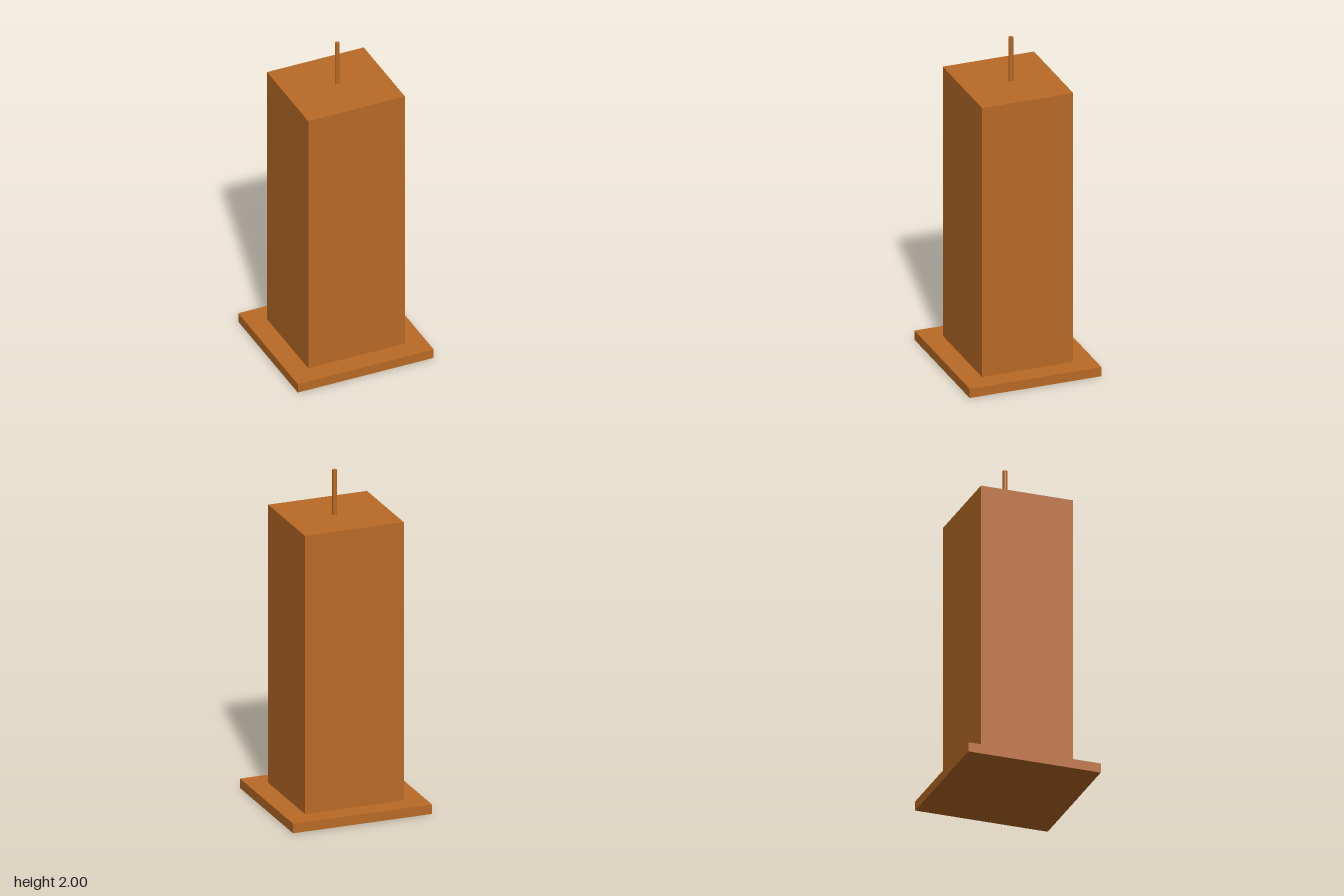
import * as THREE from 'three';

export function createModel() {
  const group = new THREE.Group();
  const material = new THREE.MeshStandardMaterial({ color: 0xba6a25, flatShading: true });

  // Adds a part standing on height y
  const add = (name, geometry, height, x, y, z) => {
    const mesh = new THREE.Mesh(geometry, material);
    mesh.name = name;
    mesh.position.set(x, y + height / 2, z);
    group.add(mesh);
  };

  const baseH = 0.057, towerTop = 1.73, top = 2;
  const towerH = towerTop - baseH, mastH = top - towerTop;

  // Wide plinth, tall block and thin rooftop mast
  add('base', new THREE.BoxGeometry(0.846, baseH, 0.8), baseH, 0, 0, 0);
  add('tower', new THREE.BoxGeometry(0.602, towerH, 0.554), towerH, 0, baseH, 0);
  add('mast', new THREE.CylinderGeometry(0.0135, 0.0135, mastH, 16), mastH, 0.0135, towerTop, -0.0125);

  return group;
}
